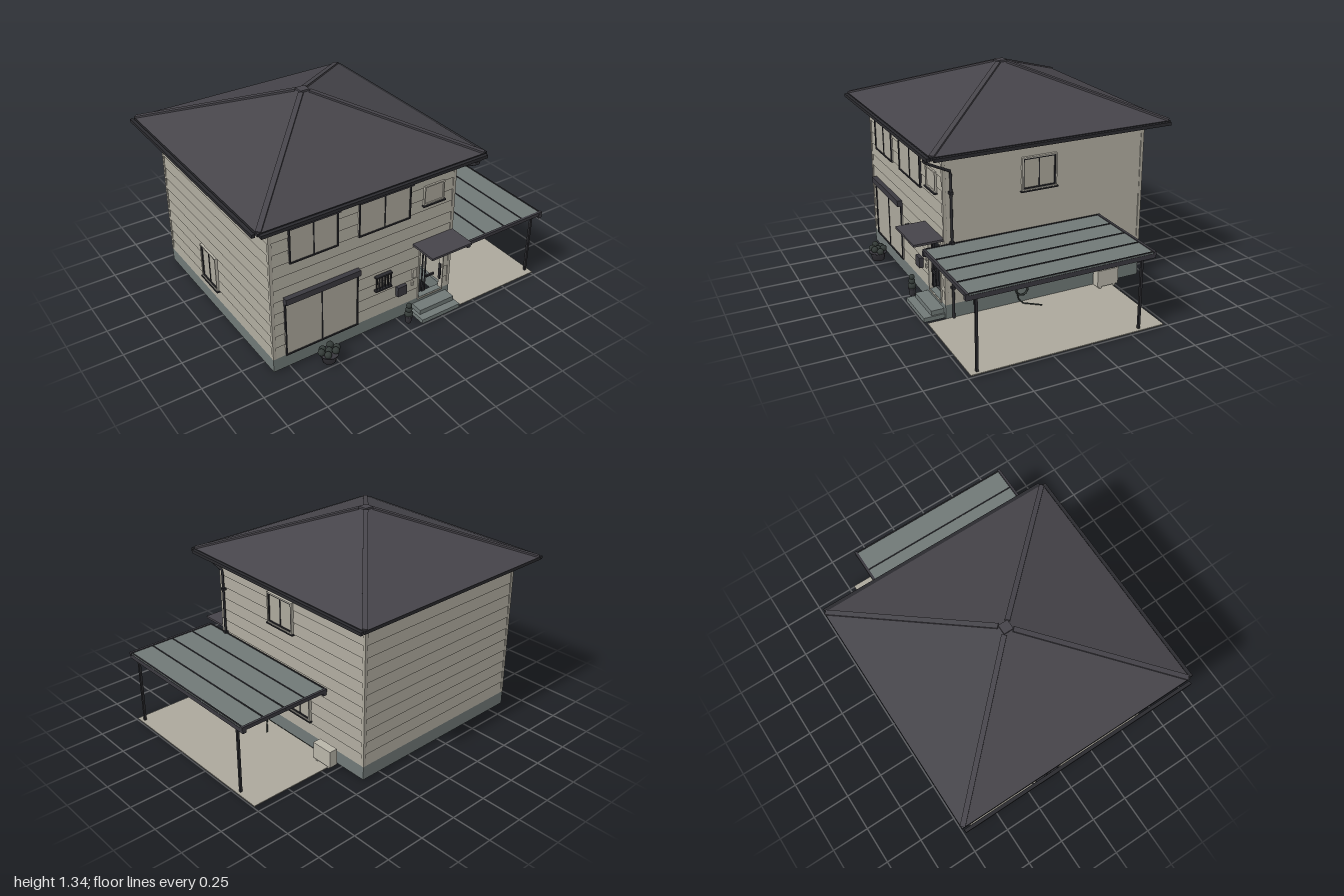
import * as THREE from 'three';

const mat = (name, color) => Object.assign(new THREE.MeshStandardMaterial({ color }), { name });
const M = {
  wall: mat('wall beige', 0xaca89c),
  roof: mat('roof slate', 0x46444a),
  dark: mat('dark frame', 0x2a2a2e),
  stone: mat('stone grey', 0x707977),
  cream: mat('light trim', 0xb9b5a9),
  box: mat('shutter grey', 0x3a393f),
  plant: mat('plant green', 0x353c39),
};

function add(parent, name, geometry, material, x = 0, y = 0, z = 0) {
  const m = new THREE.Mesh(geometry, material);
  m.name = name;
  m.position.set(x, y, z);
  parent.add(m);
  return m;
}

// Box given by its extents on each axis
function block(parent, name, material, x0, x1, y0, y1, z0, z1) {
  return add(parent, name, new THREE.BoxGeometry(x1 - x0, y1 - y0, z1 - z0), material,
    (x0 + x1) / 2, (y0 + y1) / 2, (z0 + z1) / 2);
}

// Straight bar between two points
function bar(parent, name, material, a, b, w, h) {
  const p = new THREE.Vector3(...a), q = new THREE.Vector3(...b);
  const m = add(parent, name, new THREE.BoxGeometry(w, h, p.distanceTo(q)), material);
  m.position.copy(p).add(q).multiplyScalar(0.5);
  m.lookAt(q);
  return m;
}

// Round pipe with straight runs between points
function pipe(parent, name, material, pts, r) {
  const path = new THREE.CurvePath();
  const v = pts.map(p => new THREE.Vector3(...p));
  for (let i = 1; i < v.length; i++) path.add(new THREE.LineCurve3(v[i - 1], v[i]));
  return add(parent, name, new THREE.TubeGeometry(path, 48, r, 8), material);
}

// Lapped siding between u0..u1 and y0..y1, facing +z
function siding(parent, u0, u1, y0, y1) {
  const h = 0.0775, pts = [[-0.02, y0]];
  for (let k = 0; k < 12; k++) {
    const b = 0.1 + k * h, lo = Math.max(b, y0), hi = Math.min(b + h, y1);
    if (hi - lo < 1e-4) continue;
    for (const y of [lo, hi]) pts.push([0.006 * (1 - (y - b) / h), y]);
  }
  pts.push([-0.02, y1]);
  const g = new THREE.ExtrudeGeometry(new THREE.Shape(pts.map(p => new THREE.Vector2(...p))),
    { depth: u1 - u0, bevelEnabled: false });
  g.rotateY(-Math.PI / 2);
  add(parent, 'siding', g, M.wall, u1, 0, 0);
}

function frame(parent, name, material, u0, u1, y0, y1, t, n0, n1) {
  block(parent, name, material, u0, u0 + t, y0, y1, n0, n1);
  block(parent, name, material, u1 - t, u1, y0, y1, n0, n1);
  block(parent, name, material, u0 + t, u1 - t, y0, y0 + t, n0, n1);
  block(parent, name, material, u0 + t, u1 - t, y1 - t, y1, n0, n1);
}

// Sliding window with optional shutter box, pale surround and sill
function windowUnit(parent, u0, u1, y0, y1, { shutter, trim, sill, single } = {}) {
  const g = new THREE.Group();
  g.name = 'window';
  parent.add(g);
  const t = trim ? 0.007 : 0, m = (u0 + u1) / 2;
  if (trim) frame(g, 'windowSurround', M.cream, u0, u1, y0, y1, t, -0.024, 0.02);
  frame(g, 'windowFrame', single ? M.cream : M.dark, u0 + t, u1 - t, y0 + t, y1 - t, 0.008, -0.024, 0.016);
  block(g, 'windowPane', M.wall, u0 + t, u1 - t, y0 + t, y1 - t, -0.022, 0.009);
  if (!single) block(g, 'windowMullion', M.dark, m - 0.003, m + 0.003, y0 + t, y1 - t, -0.024, 0.013);
  if (sill) block(g, 'windowSill', M.dark, u0 - 0.008, u1 + 0.008, y0 - 0.008, y0, 0, 0.025);
  if (shutter) block(g, 'shutterBox', M.box, u0 - 0.002, u1 + 0.002, y1, y1 + 0.038, 0, 0.036);
}

function pottedPlant(parent, name, x, z, r, h) {
  const g = new THREE.Group();
  g.name = name;
  g.position.set(x, 0.015, z);
  parent.add(g);
  const prof = [[0, 0], [r * 0.75, 0], [r * 0.95, h * 0.85], [r * 1.1, h * 0.85], [r * 1.1, h], [0, h]];
  add(g, 'pot', new THREE.LatheGeometry(prof.map(p => new THREE.Vector2(...p)), 16), M.box);
  return g;
}

export function createModel() {
  const house = new THREE.Group();
  house.name = 'house';
  const cx = -0.235, cz = -0.035;

  // Each side is a group: local x runs along the wall, local z points outward
  const side = (name, x, z, turn) => {
    const g = new THREE.Group();
    g.name = name;
    g.position.set(x, 0, z);
    g.rotation.y = turn;
    house.add(g);
    return g;
  };
  const front = side('frontSide', 0, 0.614, 0);
  const right = side('carportSide', 0.384, 0, Math.PI / 2);
  const back = side('backSide', 0, -0.684, Math.PI);
  const left = side('farSide', -0.854, 0, -Math.PI / 2);

  // Walls and hollow foundation, with a doorway in the front
  const spans = [[front, -0.854, 0.384], [right, -0.614, 0.684], [back, -0.384, 0.854], [left, -0.684, 0.614]];
  for (const [g, a, b] of spans) {
    block(g, 'foundation', M.stone, a - 0.006, b + 0.006, 0.013, 0.1, -0.035, 0.006);
    if (g !== front) siding(g, a, b, 0.1, 1.03);
  }
  siding(front, -0.854, 0.15, 0.1, 1.03);
  siding(front, 0.33, 0.384, 0.1, 1.03);
  siding(front, 0.15, 0.33, 0.46, 1.03);
  for (const x of [-0.851, 0.381]) for (const z of [-0.681, 0.611])
    block(house, 'cornerPost', M.wall, x - 0.01, x + 0.01, 0.1, 1.03, z - 0.01, z + 0.01);

  // Hipped roof
  const hx = 0.737, hz = 0.762, s2 = Math.SQRT2;
  const hip = new THREE.CylinderGeometry(0.04 * s2, s2, 0.285, 4, 1, false, Math.PI / 4)
    .scale(hx, 1, hz).toNonIndexed();
  hip.computeVertexNormals();
  add(house, 'roof', hip, M.roof, cx, 1.1875, cz);
  block(house, 'eaves', M.dark, cx - hx, cx + hx, 1.026, 1.046, cz - hz, cz + hz);
  for (const i of [-1, 1]) for (const j of [-1, 1])
    bar(house, 'hipRidge', M.roof, [cx + i * hx * 0.99, 1.049, cz + j * hz * 0.99],
      [cx + i * 0.03, 1.331, cz + j * 0.03], 0.03, 0.012);
  block(house, 'roofCap', M.roof, cx - 0.03, cx + 0.03, 1.32, 1.342, cz - 0.03, cz + 0.03);

  // Gutters and downpipe
  block(house, 'frontGutter', M.dark, -0.965, 0.5, 1.022, 1.042, 0.73, 0.75);
  for (const x of [-0.99, 0.513])
    block(house, 'sideGutter', M.dark, x - 0.01, x + 0.01, 1.022, 1.042, -0.79, 0.715);
  pipe(house, 'downpipe', M.dark,
    [[0.44, 1.025, 0.745], [0.437, 1.0, 0.74], [0.402, 0.915, 0.575], [0.402, 0.012, 0.575]], 0.008);
  for (const y of [0.2, 0.48, 0.78])
    block(house, 'pipeBracket', M.dark, 0.385, 0.413, y, y + 0.015, 0.564, 0.586);

  // Windows
  windowUnit(front, -0.74, -0.43, 0.71, 0.937, { shutter: true });
  windowUnit(front, -0.295, 0.06, 0.71, 0.937, { shutter: true });
  windowUnit(front, -0.78, -0.295, 0.1, 0.465, { shutter: true });
  windowUnit(front, 0.155, 0.3, 0.762, 0.885, { single: true, sill: true });
  windowUnit(right, -0.135, 0.09, 0.722, 0.922, { trim: true, sill: true });
  windowUnit(right, 0.05, 0.24, 0.198, 0.395, { trim: true, sill: true });
  windowUnit(left, -0.215, -0.02, 0.175, 0.41, { trim: true, sill: true });

  // Barred window
  for (const y of [0.29, 0.385]) block(front, 'grilleRail', M.dark, -0.18, -0.065, y, y + 0.01, 0.006, 0.03);
  for (let i = 0; i < 6; i++) {
    const x = -0.173 + i * 0.02;
    block(front, 'grilleBar', M.dark, x, x + 0.006, 0.29, 0.395, 0.014, 0.024);
  }

  // Open doorway with its fittings
  frame(front, 'doorFrame', M.cream, 0.145, 0.335, 0.09, 0.465, 0.007, -0.022, 0.012);
  frame(front, 'doorSlit', M.dark, 0.18, 0.205, 0.13, 0.41, 0.003, -0.008, 0.004);
  block(front, 'doorPlate', M.dark, 0.205, 0.265, 0.232, 0.244, 0, 0.012);
  block(front, 'doorHandle', M.dark, 0.298, 0.306, 0.19, 0.3, 0.008, 0.026);

  // Entrance canopy, steps and wall fittings
  block(house, 'canopy', M.roof, 0.095, 0.39, 0.5, 0.514, 0.615, 0.8);
  block(house, 'lowerStep', M.stone, 0.09, 0.375, 0.013, 0.04, 0.615, 0.75);
  block(house, 'upperStep', M.stone, 0.11, 0.365, 0.04, 0.07, 0.615, 0.7);
  block(front, 'mailbox', M.box, -0.02, 0.045, 0.19, 0.255, 0, 0.03);
  block(front, 'intercom', M.cream, 0.1, 0.125, 0.27, 0.33, 0, 0.014);
  block(front, 'switchPlate', M.cream, 0.095, 0.112, 0.215, 0.24, 0, 0.012);
  block(front, 'porchLamp', M.dark, 0.345, 0.37, 0.39, 0.425, 0, 0.03);

  // Carport
  const carport = new THREE.Group();
  carport.name = 'carport';
  house.add(carport);
  block(carport, 'parkingSlab', M.wall, 0.395, 1, 0.01, 0.016, -0.465, 0.735);
  block(carport, 'carportRoof', M.stone, 0.4, 0.995, 0.471, 0.481, -0.385, 0.735);
  for (const x of [0.4, 0.55, 0.7, 0.845, 0.99])
    block(carport, 'roofRib', M.dark, x - 0.004, x + 0.004, 0.466, 0.485, -0.388, 0.738);
  for (const x of [0.41, 0.985])
    block(carport, 'sideBeam', M.box, x - 0.012, x + 0.012, 0.446, 0.474, -0.388, 0.755);
  for (const z of [0.745, -0.38])
    block(carport, 'endBeam', M.box, 0.4, 1, 0.463, 0.486, z - 0.008, z + 0.008);
  for (const z of [-0.1, 0.18, 0.46])
    block(carport, 'purlin', M.dark, 0.41, 0.985, 0.457, 0.471, z - 0.007, z + 0.007);
  for (const z of [0.69, -0.31])
    block(carport, 'post', M.dark, 0.969, 0.983, 0.015, 0.46, z - 0.007, z + 0.007);

  // Meter, hose and outdoor unit beside the carport wall
  block(house, 'meterBox', M.cream, 0.388, 0.42, 0.19, 0.255, 0.408, 0.46);
  pipe(house, 'meterPipe', M.dark, [[0.4, 0.25, 0.42], [0.4, 0.28, 0.42], [0.4, 0.28, 0.375]], 0.005);
  pipe(house, 'supplyPipe', M.dark, [[0.403, 0.2, 0.445], [0.403, 0, 0.445]], 0.005);
  const coil = add(house, 'hoseCoil', new THREE.TorusGeometry(0.038, 0.006, 8, 28), M.plant, 0.402, 0.1, 0.135);
  coil.rotation.y = Math.PI / 2;
  pipe(house, 'hoseTail', M.plant,
    [[0.405, 0.085, 0.17], [0.41, 0.04, 0.16], [0.43, 0.021, 0.14], [0.5, 0.021, 0.05]], 0.004);
  block(house, 'outdoorUnit', M.cream, 0.415, 0.47, 0.03, 0.137, -0.495, -0.35);
  for (const z of [-0.48, -0.38])
    block(house, 'unitFoot', M.cream, 0.42, 0.465, 0.015, 0.03, z, z + 0.015);

  // Pots with a leafy bush and a small clipped tree
  const bush = pottedPlant(house, 'bushPot', -0.55, 0.71, 0.052, 0.06);
  for (let i = 0; i < 7; i++) {
    const a = i * Math.PI / 3, r = i < 6 ? 0.043 : 0;
    add(bush, 'leaves', new THREE.IcosahedronGeometry(0.022, 1), M.plant,
      r * 1.2 * Math.cos(a), 0.072 + (i % 2) * 0.01, r * 0.8 * Math.sin(a));
  }
  const tree = pottedPlant(house, 'treePot', 0.03, 0.69, 0.022, 0.05);
  [[0.065, 0.026], [0.095, 0.021], [0.122, 0.018]].forEach(([y, r]) =>
    add(tree, 'leaves', new THREE.IcosahedronGeometry(r, 1), M.plant, 0, y, 0));

  return house;
}
